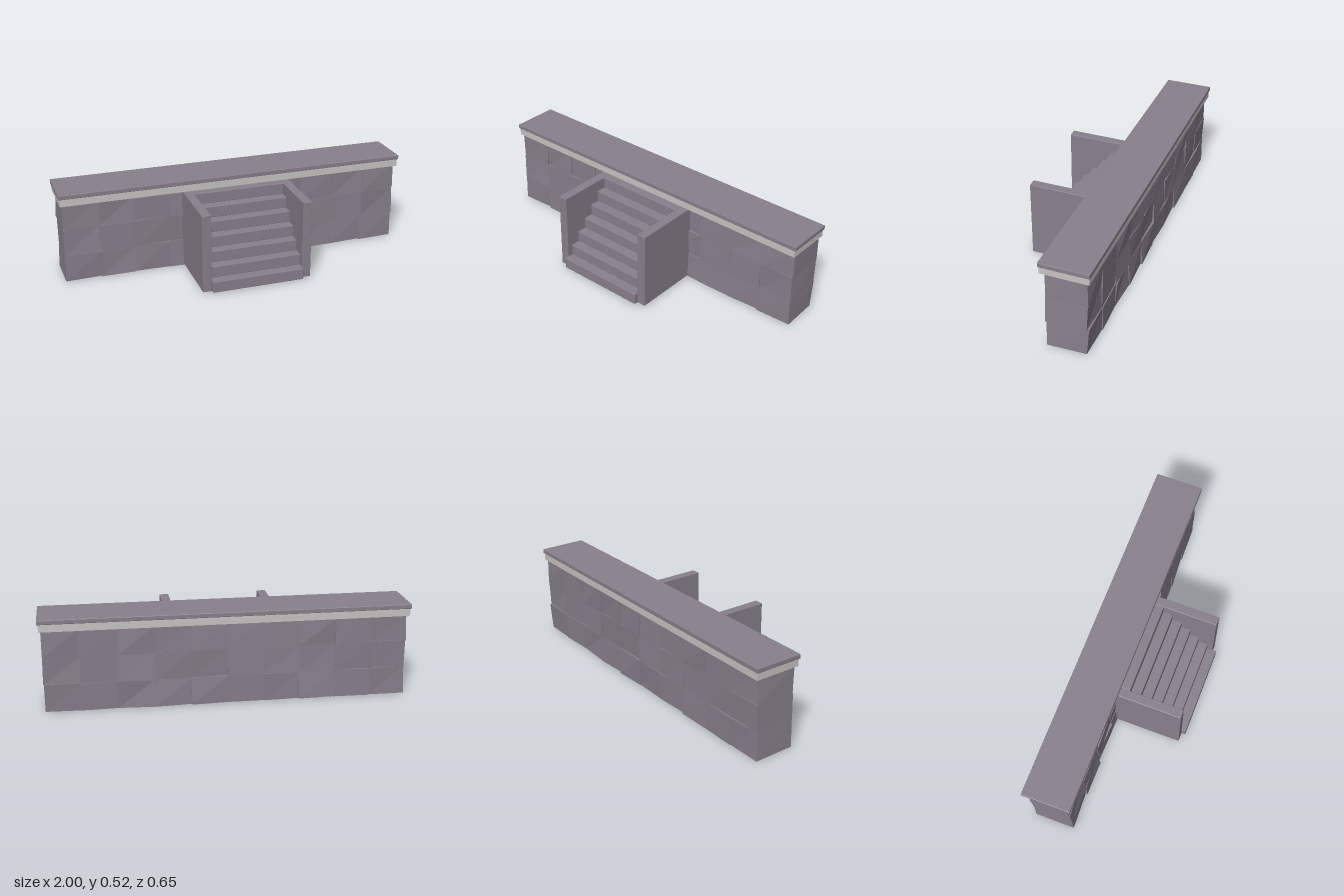
import * as THREE from 'three';
import { RoundedBoxGeometry } from 'three/addons/geometries/RoundedBoxGeometry.js';

const stone = new THREE.MeshStandardMaterial({ color: 0x88808c });
stone.name = 'greyStone';
stone.flatShading = true;
const plaster = new THREE.MeshStandardMaterial({ color: 0xc8c4c4 });
plaster.name = 'paleTrim';

// Small seeded generator for the uneven masonry
function seeded(seed) {
  return () => {
    seed = (seed * 16807) % 2147483647;
    return (seed / 2147483647) * 2 - 1;
  };
}

function place(parent, name, geometry, material, x, y, z) {
  const mesh = new THREE.Mesh(geometry, material);
  mesh.name = name;
  mesh.position.set(x, y, z);
  parent.add(mesh);
  return mesh;
}

// Box given by its limits, with a fine chamfer on every edge
function chamferedBox(parent, name, [x0, x1], [y0, y1], [z0, z1], bevel = 0.003) {
  const geometry = new RoundedBoxGeometry(x1 - x0, y1 - y0, z1 - z0, 1, bevel);
  return place(parent, name, geometry, stone, (x0 + x1) / 2, (y0 + y1) / 2, (z0 + z1) / 2);
}

// Rough block: each of the eight corners is nudged on its own
function roughBlock(w, h, d, rand) {
  const geometry = new THREE.BoxGeometry(w, h, d);
  const p = geometry.attributes.position;
  const nudges = Array.from({ length: 8 }, () => [rand() * 0.004, rand() * 0.003, rand() * 0.008]);
  for (let i = 0; i < p.count; i++) {
    const corner = (p.getX(i) > 0 ? 1 : 0) + (p.getY(i) > 0 ? 2 : 0) + (p.getZ(i) > 0 ? 4 : 0);
    const [dx, dy, dz] = nudges[corner];
    p.setXYZ(i, p.getX(i) + dx, p.getY(i) + dy, p.getZ(i) + dz);
  }
  geometry.computeVertexNormals();
  return geometry;
}

export function createModel() {
  const model = new THREE.Group();
  model.name = 'stoneTerraceWithSteps';

  // Wall of three courses of rough blocks
  const wall = new THREE.Group();
  wall.name = 'blockWall';
  model.add(wall);
  const rand = seeded(4821);
  const columns = 10, pitch = 0.196, course = 0.152;
  for (let row = 0; row < 3; row++) {
    for (let col = 0; col < columns; col++) {
      place(wall, 'wallBlock', roughBlock(pitch + 0.004, course + 0.003, 0.226, rand), stone,
        (col - (columns - 1) / 2) * pitch, 0.005 + course * (row + 0.5), -0.19);
    }
  }

  // Pale moulding and coping slab
  place(model, 'paleMoulding', new THREE.BoxGeometry(1.986, 0.042, 0.26), plaster, 0, 0.475, -0.188);
  chamferedBox(model, 'copingSlab', [-1, 1], [0.495, 0.52], [-0.323, -0.053]);

  // Side walls of the stair
  for (const side of [-1, 1]) {
    const xs = side > 0 ? [0.26, 0.311] : [-0.311, -0.26];
    chamferedBox(model, side > 0 ? 'leftStairWall' : 'rightStairWall', xs, [0.008, 0.454], [-0.085, 0.3]);
  }

  // Separate step blocks, open underneath
  const steps = new THREE.Group();
  steps.name = 'steps';
  model.add(steps);
  const rise = 0.0637, going = 0.0553;
  for (let i = 0; i < 7; i++) {
    const y = 0.008 + i * rise, front = 0.323 - i * going;
    chamferedBox(steps, 'step', [-0.261, 0.261], [y, y + rise], [front - 0.075, front]);
  }
  return model;
}
